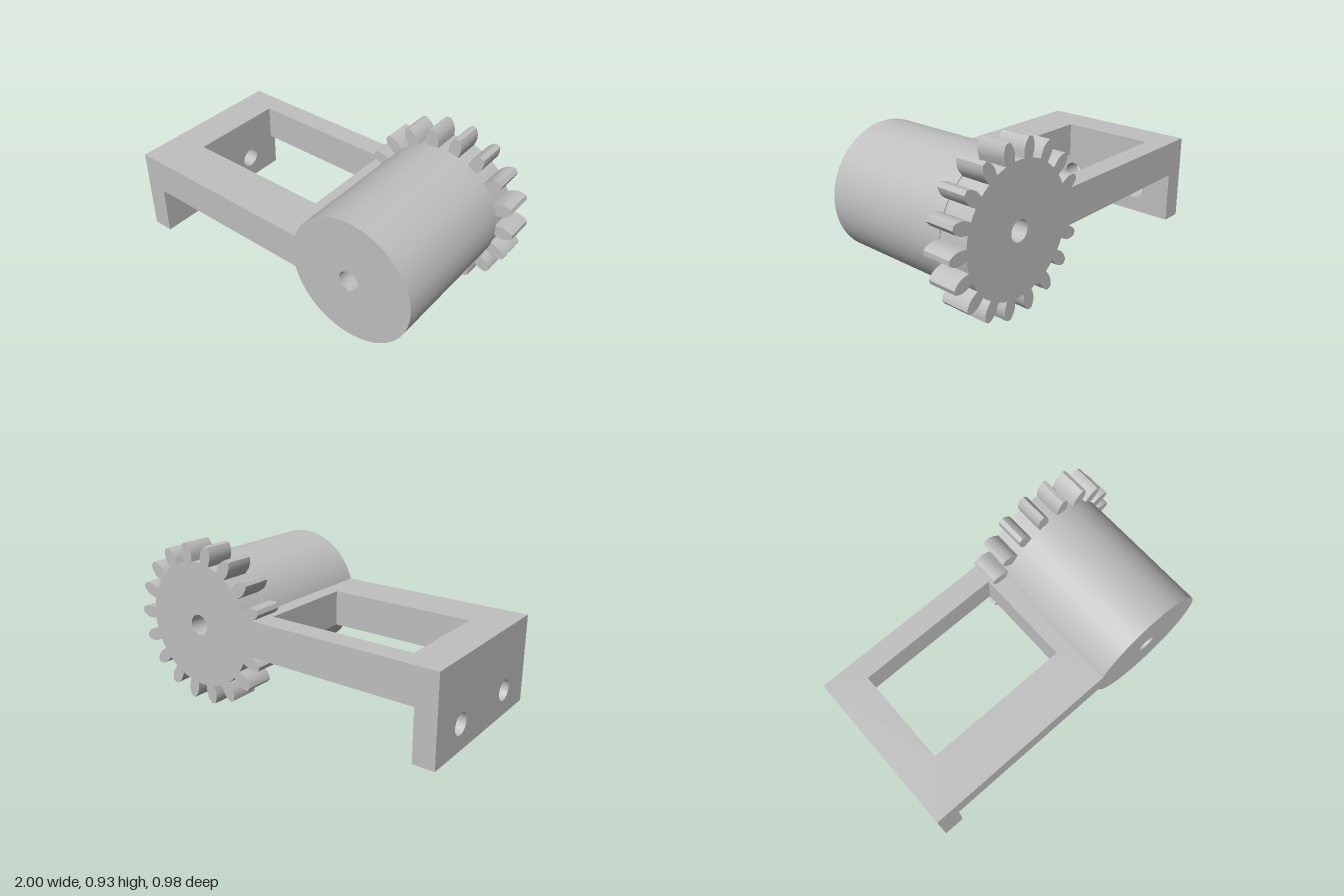
import * as THREE from 'three';
import { toCreasedNormals } from 'three/addons/utils/BufferGeometryUtils.js';

const AXIS_X = 0.53, AXIS_Y = 0.47; // shared axis of drum and gear
const BORE = 0.06;

const rectangle = (Base, x0, y0, x1, y1) => new Base([
  new THREE.Vector2(x0, y0), new THREE.Vector2(x1, y0),
  new THREE.Vector2(x1, y1), new THREE.Vector2(x0, y1),
]);

const roundHole = (x, y) => new THREE.Path().absarc(x, y, BORE, 0, Math.PI * 2, true);

const extrude = (shape, depth) =>
  new THREE.ExtrudeGeometry(shape, { depth, bevelEnabled: false, curveSegments: 32 });

// Gear outline: rounded teeth on a root circle; the tooth buried in the arm is left out
function gearShape() {
  const teeth = 18, root = 0.364;
  const flank = [[root, 0.031], [0.385, 0.034], [0.41, 0.037], [0.435, 0.033], [0.455, 0.024], [0.47, 0.013]];
  const points = [];
  const add = (r, a) => points.push(new THREE.Vector2(r * Math.cos(a), r * Math.sin(a)));
  const step = Math.PI * 2 / teeth;
  for (let i = 0; i < teeth; i++) {
    const a = i * step;
    if (i === teeth / 2) {
      add(root, a);
    } else {
      flank.forEach(([r, w]) => add(r, a - w / r));
      [...flank].reverse().forEach(([r, w]) => add(r, a + w / r));
    }
    add(root, a + step / 2);
  }
  const shape = new THREE.Shape(points);
  shape.holes.push(roundHole(0, 0));
  return shape;
}

export function createModel() {
  const group = new THREE.Group();
  const grey = new THREE.MeshStandardMaterial({ color: 0xc0c0c0 });
  grey.name = 'light grey';
  const add = (name, geometry) => {
    const mesh = new THREE.Mesh(toCreasedNormals(geometry, 0.5), grey);
    mesh.name = name;
    group.add(mesh);
  };

  // Flat arm with a rectangular window
  const arm = rectangle(THREE.Shape, -1, -0.49, 0.18, 0.49);
  arm.holes.push(rectangle(THREE.Path, -0.79, -0.365, 0.085, 0.215));
  add('armFrame', extrude(arm, 0.21).rotateX(Math.PI / 2).translate(0, 0.578, 0));

  // Hanging flange with two screw holes
  const flange = rectangle(THREE.Shape, -0.49, 0.068, 0.49, 0.368);
  flange.holes.push(roundHole(-0.247, 0.218), roundHole(0.247, 0.218));
  add('mountingFlange', extrude(flange, 0.125).rotateY(Math.PI / 2).translate(-1, 0, 0));

  // Drum with a blind bore in its front face
  const profile = [[0, -0.32], [0.37, -0.32], [0.37, 0.49], [BORE, 0.49], [BORE, 0.32], [0, 0.32]]
    .map(([r, h]) => new THREE.Vector2(r, h));
  add('drum', new THREE.LatheGeometry(profile, 96).rotateX(Math.PI / 2).translate(AXIS_X, AXIS_Y, 0));

  // Gear behind the drum
  add('gear', extrude(gearShape(), 0.17).translate(AXIS_X, AXIS_Y, -0.49));

  return group;
}
